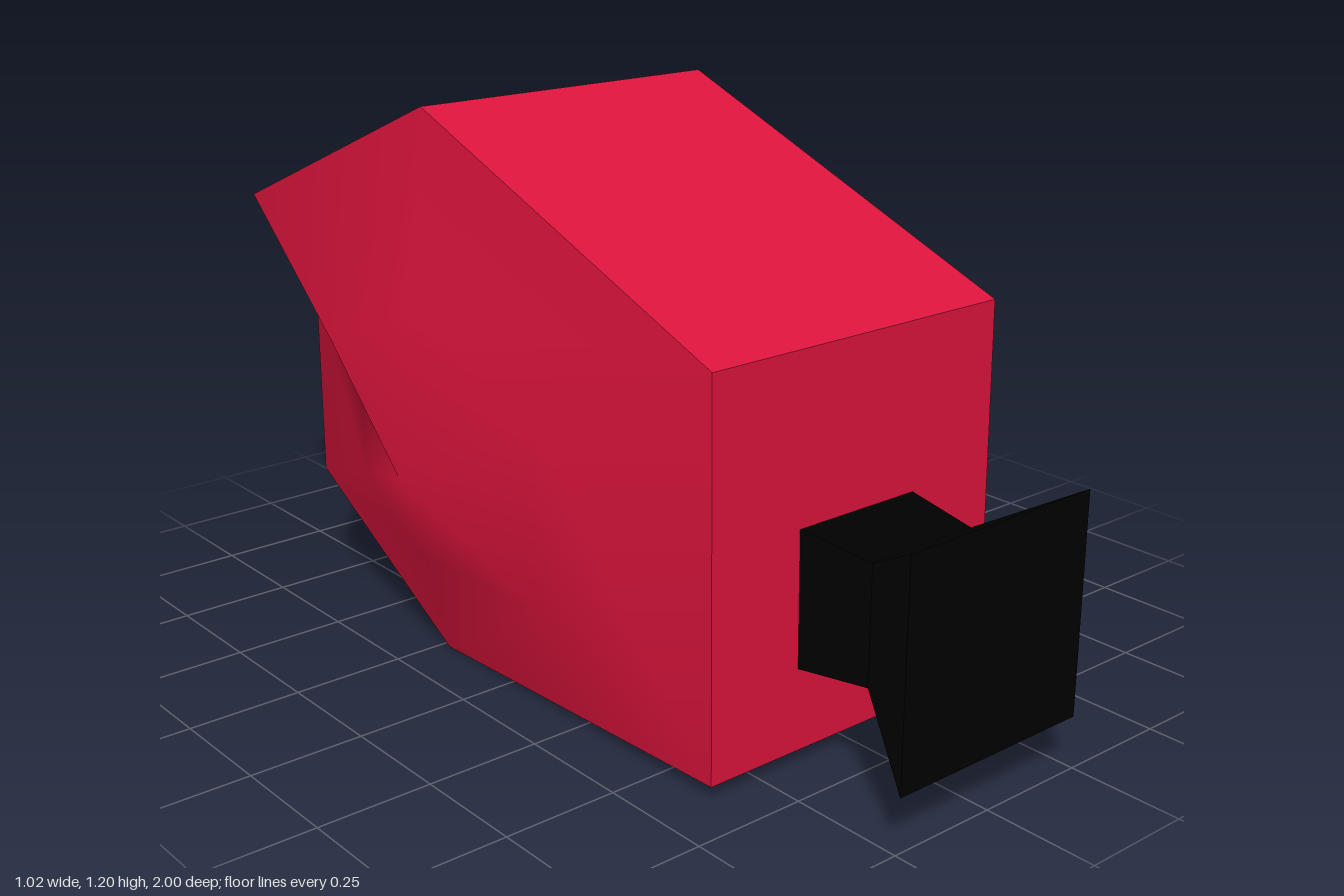
import * as THREE from 'three';
import { mergeVertices } from 'three/addons/utils/BufferGeometryUtils.js';

// Joins rings of points; each ring runs counter-clockwise seen from the last ring.
function loft(rings, smooth, capEnds = false) {
  const n = rings[0].length;
  const index = [];
  for (let r = 0; r < rings.length - 1; r++) {
    for (let i = 0; i < n; i++) {
      const j = (i + 1) % n;
      const a0 = r * n + i, b0 = r * n + j, a1 = a0 + n, b1 = b0 + n;
      index.push(a0, b0, b1, a0, b1, a1);
    }
  }
  if (capEnds) {
    const end = (rings.length - 1) * n;
    for (let i = 1; i < n - 1; i++) {
      index.push(0, i + 1, i, end, end + i, end + i + 1);
    }
  }
  let geometry = new THREE.BufferGeometry();
  geometry.setAttribute('position', new THREE.Float32BufferAttribute(rings.flat(2), 3));
  geometry.setIndex(index);
  geometry = smooth ? mergeVertices(geometry) : geometry.toNonIndexed();
  geometry.computeVertexNormals();
  return geometry;
}

export function createModel() {
  const group = new THREE.Group();
  const red = new THREE.MeshStandardMaterial({ name: 'crimson', color: 0xdc143c });
  const black = new THREE.MeshStandardMaterial({ name: 'black', color: 0x000000 });

  const add = (name, geometry, material) => {
    const mesh = new THREE.Mesh(geometry, material);
    mesh.name = name;
    group.add(mesh);
  };

  // Side outline of the housing as [z, y]
  const profile = [
    [0.645, 0.03], [-0.23, 0], [-0.73, 0.28], [-0.73, 0.715],
    [-1, 0.893], [-0.27, 1.2], [0.635, 0.85],
  ];
  const halfWidth = 0.378;
  const apex = [-0.2, 0.44];

  // Outline shrunk towards the side peak, placed at x
  const ring = (x, s) => profile.map(([z, y]) => [
    x, apex[1] + (y - apex[1]) * s, apex[0] + (z - apex[0]) * s,
  ]);

  // Roof, front, back and underside
  add('housing', loft([ring(-halfWidth, 1), ring(halfWidth, 1)], false), red);

  // Bulging side walls
  const wall = (side) => [
    ring(side * halfWidth, 1), ring(side * 0.443, 0.46), ring(side * 0.51, 0),
  ];
  add('leftWall', loft(wall(1), true), red);
  add('rightWall', loft(wall(-1).reverse(), true), red);

  // Square neck and flared hood, centred at y = 0.35
  const rectangle = (z, w, h) => [[-w, -h], [w, -h], [w, h], [-w, h]]
    .map(([x, y]) => [x, 0.35 + y, z]);
  add('neck', loft([rectangle(0.62, 0.157, 0.147), rectangle(0.81, 0.135, 0.127)], false, true), black);
  add('hood', loft([rectangle(0.81, 0.135, 0.127), rectangle(1, 0.243, 0.236)], false, true), black);

  return group;
}
